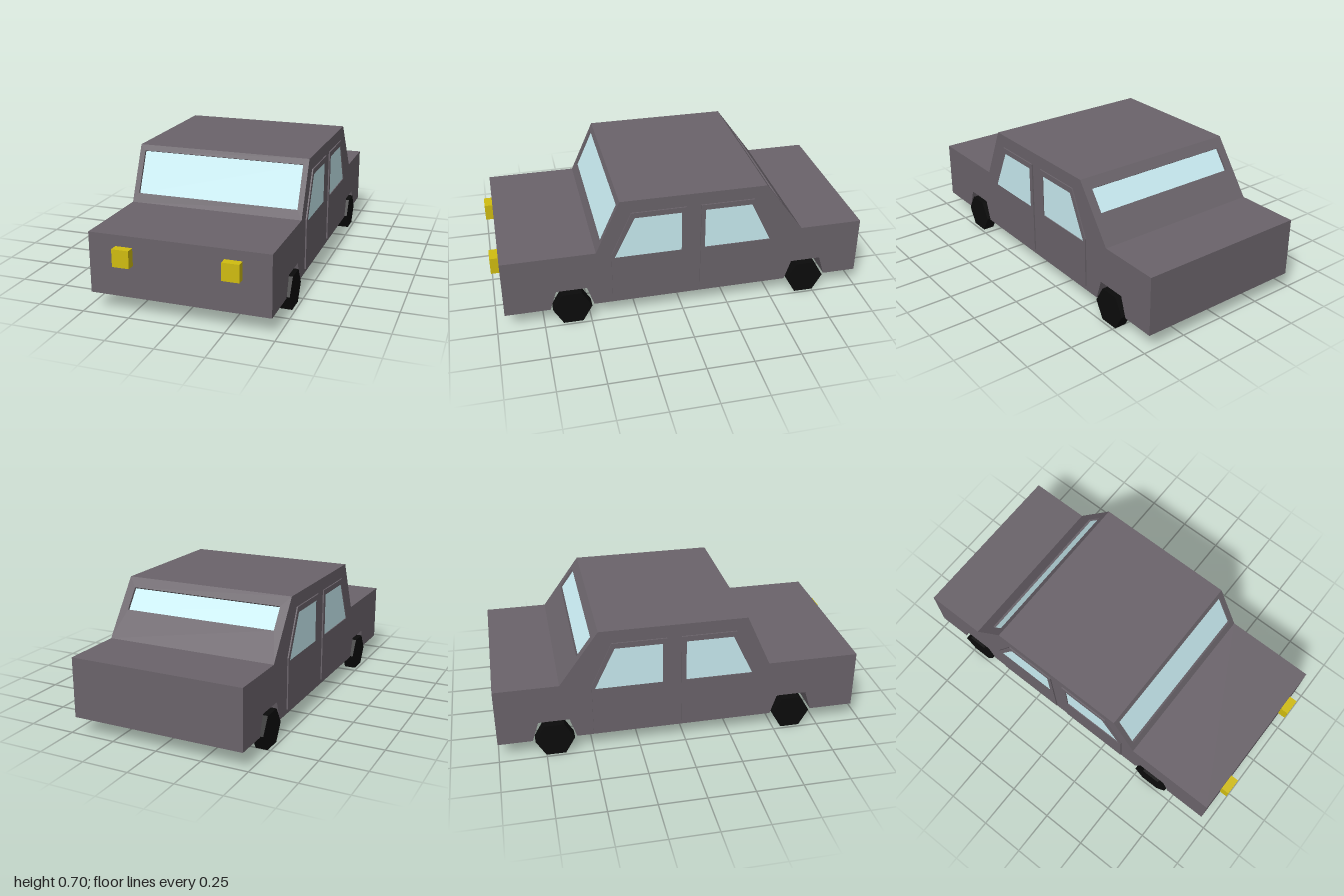
import * as THREE from 'three';

const HALF = 0.472; // half width of the body
const paint = new THREE.MeshStandardMaterial({ color: 0x6a636a, flatShading: true });
const glass = new THREE.MeshStandardMaterial({ color: 0xc9ecf2, flatShading: true });
const rubber = new THREE.MeshStandardMaterial({ color: 0x0b0b0b, flatShading: true });
const lamp = new THREE.MeshStandardMaterial({ color: 0xd0bc10, flatShading: true });

function mesh(name, geometry, material) {
  const m = new THREE.Mesh(geometry, material);
  m.name = name;
  return m;
}

const shapeOf = (pts) => new THREE.Shape(pts.map(([x, y]) => new THREE.Vector2(x, y)));
const rect = (w, y0, y1) => [[-w, y0], [w, y0], [w, y1], [-w, y1]];

// Side outline given as [z, y], drawn for side s (+1 left, -1 right)
const sideShape = (pts, s) => shapeOf(pts.map(([z, y]) => [-s * z, y]));

function onSide(m, s, x) {
  m.rotation.y = s * Math.PI / 2;
  m.position.x = s * x;
  return m;
}

// Four inward-facing walls around a sunken window
function recessWalls(c, d) {
  const pos = [];
  c.forEach(([px, py], i) => {
    const [qx, qy] = c[(i + 1) % c.length];
    pos.push(px, py, 0, qx, qy, 0, px, py, -d, qx, qy, 0, qx, qy, -d, px, py, -d);
  });
  const g = new THREE.BufferGeometry();
  g.setAttribute('position', new THREE.Float32BufferAttribute(pos, 3));
  g.computeVertexNormals();
  return g;
}

// Full-width panel along one profile edge, optionally with a sunken window
function edgePanel([z0, y0], [z1, y1], win) {
  const group = new THREE.Group();
  const len = Math.hypot(z1 - z0, y1 - y0);
  const shape = shapeOf(rect(HALF, 0, len));
  group.name = 'bodyPanel';
  if (win) {
    const at = (y) => (y - y0) / (y1 - y0) * len;
    const a = Math.min(at(win.low), at(win.high)), b = Math.max(at(win.low), at(win.high));
    const hole = rect(win.w, a, b);
    shape.holes.push(shapeOf(hole));
    group.add(mesh(win.name + 'Surround', recessWalls(hole, 0.012), paint));
    const pane = mesh(win.name, new THREE.PlaneGeometry(2 * win.w, b - a), glass);
    pane.position.set(0, (a + b) / 2, -0.012);
    group.add(pane);
  }
  group.add(mesh('panel', new THREE.ShapeGeometry(shape), paint));
  const u = new THREE.Vector3(1, 0, 0);
  const v = new THREE.Vector3(0, (y1 - y0) / len, (z1 - z0) / len);
  const n = new THREE.Vector3().crossVectors(u, v);
  group.quaternion.setFromRotationMatrix(new THREE.Matrix4().makeBasis(u, v, n));
  group.position.set(0, y0, z0);
  return group;
}

export function createModel() {
  const car = new THREE.Group();
  car.name = 'car';

  // Body profile [z, y]: nose, hood, windshield, roof, rear window, trunk, underside
  const profile = [
    [0.955, 0.09], [0.955, 0.41], [0.46, 0.41], [0.33, 0.7], [-0.45, 0.7], [-0.66, 0.41],
    [-1, 0.41], [-1, 0.09],
  ];
  const wheelZ = [-0.7, 0.597];
  for (const z of wheelZ) { // wheel channels
    profile.push([z - 0.117, 0.09], [z - 0.082, 0.2], [z + 0.082, 0.2], [z + 0.117, 0.09]);
  }
  const windows = {
    2: { name: 'windshield', w: 0.443, low: 0.457, high: 0.67 },
    4: { name: 'rearWindow', w: 0.425, low: 0.548, high: 0.652 },
  };
  const body = new THREE.Group();
  body.name = 'body';
  profile.forEach((p, i) => body.add(edgePanel(p, profile[(i + 1) % profile.length], windows[i])));
  car.add(body);

  const doors = [
    {
      name: 'frontDoor',
      outline: [[-0.02, 0.115], [0.38, 0.115], [0.38, 0.39], [0.272, 0.63], [-0.02, 0.63]],
      pane: [[0.005, 0.37], [0.365, 0.37], [0.255, 0.6], [0.005, 0.6]],
    },
    {
      name: 'rearDoor',
      outline: [[-0.097, 0.115], [-0.495, 0.115], [-0.495, 0.39], [-0.385, 0.63], [-0.097, 0.63]],
      pane: [[-0.12, 0.37], [-0.48, 0.37], [-0.37, 0.6], [-0.12, 0.6]],
    },
  ];

  for (const s of [1, -1]) {
    body.add(onSide(mesh('bodySide', new THREE.ShapeGeometry(sideShape(profile, s)), paint), s, HALF));

    // Raised doors with glass set into them
    for (const d of doors) {
      const shape = sideShape(d.outline, s);
      shape.holes.push(sideShape(d.pane, s));
      const panel = new THREE.ExtrudeGeometry(shape, { depth: 0.007, bevelEnabled: false });
      car.add(onSide(mesh(d.name, panel, paint), s, HALF));
      const pane = new THREE.ShapeGeometry(sideShape(d.pane, s));
      car.add(onSide(mesh(d.name + 'Window', pane, glass), s, HALF + 0.002));
    }

    // Six-sided wheels
    for (const z of wheelZ) {
      const wheel = mesh('wheel', new THREE.CylinderGeometry(0.104, 0.104, 0.064, 6), rubber);
      wheel.rotation.z = Math.PI / 2;
      wheel.position.set(s * 0.452, 0.09, z);
      car.add(wheel);
    }

    // Headlights
    const light = mesh('headlight', new THREE.BoxGeometry(0.09, 0.092, 0.045), lamp);
    light.position.set(s * 0.282, s > 0 ? 0.312 : 0.306, 0.9775);
    car.add(light);
  }
  return car;
}
